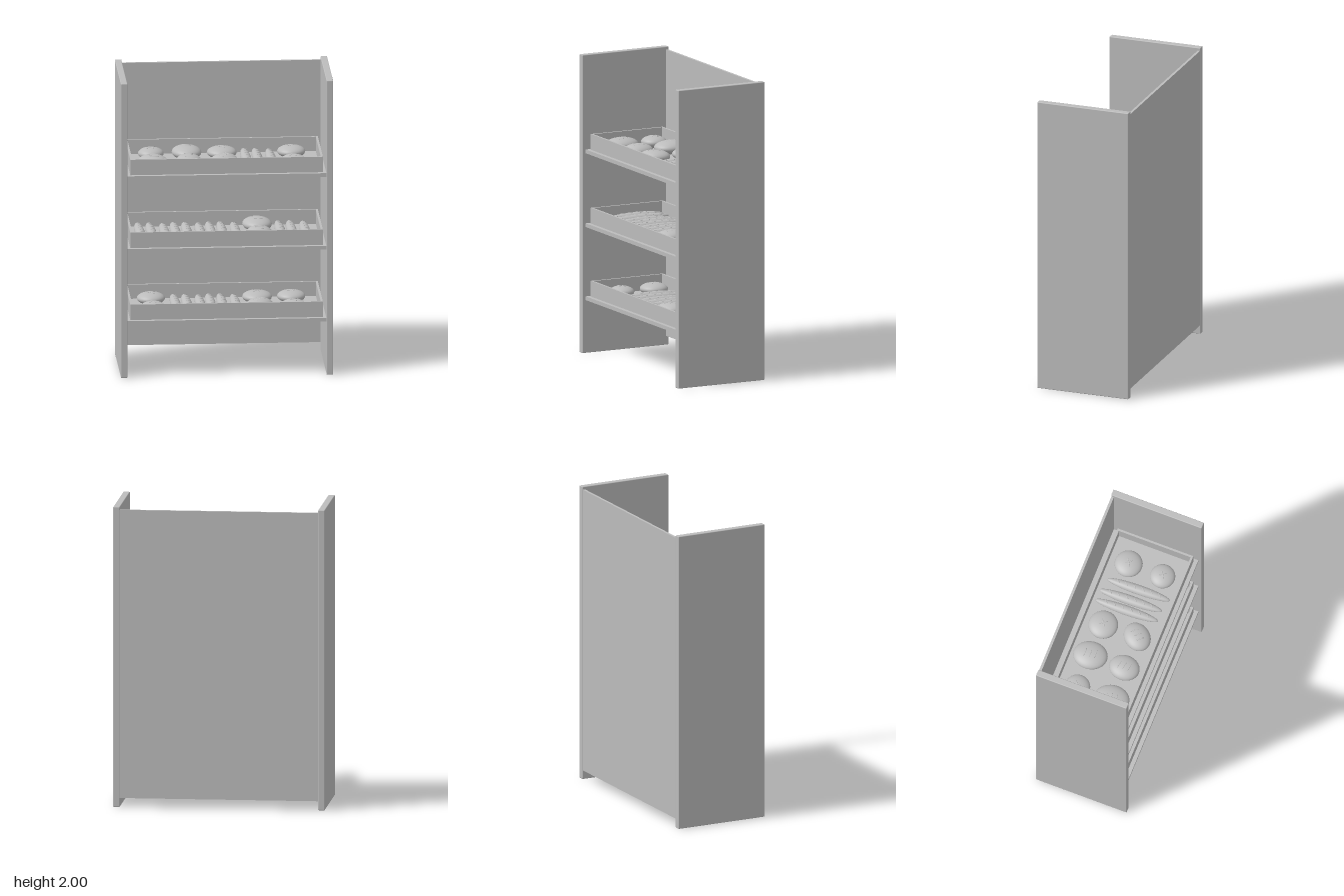
import * as THREE from 'three';
import { RoundedBoxGeometry } from 'three/addons/geometries/RoundedBoxGeometry.js';

const grey = new THREE.MeshStandardMaterial({ color: 0xbcbcbc });
grey.name = 'plain grey';

const ball = new THREE.SphereGeometry(1, 32, 20);
const leaf = new THREE.SphereGeometry(1, 8, 6);

function add(parent, name, geometry, x = 0, y = 0, z = 0) {
  const mesh = new THREE.Mesh(geometry, grey);
  mesh.name = name;
  mesh.position.set(x, y, z);
  parent.add(mesh);
  return mesh;
}

// Box given by its two opposite corners
function box(parent, name, [x0, y0, z0], [x1, y1, z1]) {
  return add(parent, name, new THREE.BoxGeometry(x1 - x0, y1 - y0, z1 - z0),
    (x0 + x1) / 2, (y0 + y1) / 2, (z0 + z1) / 2);
}

// Squashed bread resting on y = 0; each cut is [x, z, angle, half length]
function bread(parent, name, x, z, [rx, ry, rz], turn, cuts) {
  const group = new THREE.Group();
  group.name = name;
  group.position.set(x, 0, z);
  group.rotation.y = turn;
  add(group, 'crust', ball, 0, ry, 0).scale.set(rx, ry, rz);
  for (const [cx, cz, angle, half] of cuts) {
    const h = Math.sqrt(Math.max(0, 1 - (cx / rx) ** 2 - (cz / rz) ** 2));
    const cut = add(group, 'scoreMark', leaf, cx, ry + ry * h - 0.001, cz);
    const normal = new THREE.Vector3(cx / rx ** 2, h / ry, cz / rz ** 2).normalize();
    cut.quaternion.setFromUnitVectors(new THREE.Vector3(0, 1, 0), normal)
      .multiply(new THREE.Quaternion().setFromAxisAngle(new THREE.Vector3(0, 1, 0), angle));
    cut.scale.set(half, 0.003, 0.004);
  }
  parent.add(group);
}

const cross = [[0, 0, 0.6, 0.035], [0, 0, -0.9, 0.035]];
const slashes = [-0.035, 0, 0.035].map((z) => [0, z, -0.15, 0.03]);

const bun = (parent, x, z, r) => bread(parent, 'roundBun', x, z, [r, 0.04, r], 0, cross);
const loaf = (parent, x, z, rx, rz, turn) =>
  bread(parent, 'ovalLoaf', x, z, [rx, 0.045, rz], turn, slashes);

// Three baguettes side by side
function baguettes(parent, x) {
  const cuts = [];
  for (let i = 0; i < 6; i++) cuts.push([0.006, -0.145 + i * 0.058, 0.85, 0.02]);
  [[-0.08, -0.01], [-0.005, -0.01], [0.083, 0.01]].forEach(([dx, z]) =>
    bread(parent, 'baguette', x + dx, z, [0.033, 0.028, 0.22], 0.02, cuts));
}

// Columns of bread, from the model's right to its left
const columnX = [-0.475, -0.24, -0.008, 0.225, 0.45];
const backZ = -0.115, frontZ = 0.125;
const columns = {
  mixed(p, x) { bun(p, x, backZ, 0.085); loaf(p, x, frontZ, 0.098, 0.12, 0.2); },
  ovals(p, x) { loaf(p, x, backZ, 0.097, 0.115, 0.15); loaf(p, x, frontZ, 0.087, 0.103, 0); },
  turned(p, x) { bun(p, x, backZ, 0.098); loaf(p, x, frontZ, 0.085, 0.103, -0.7); },
  buns(p, x) { bun(p, x, backZ, 0.093); bun(p, x, frontZ, 0.084); },
  sticks(p, x) { baguettes(p, x); },
};

const shelves = [
  { y: 1.34, bread: ['mixed', 'ovals', 'turned', 'sticks', 'buns'] },
  { y: 0.845, bread: ['sticks', 'sticks', 'sticks', 'ovals', 'sticks'] },
  { y: 0.355, bread: ['buns', 'sticks', 'sticks', 'turned', 'buns'] },
];

// Open tray with four thin walls and a floor
function tray(parent) {
  const group = new THREE.Group();
  group.name = 'tray';
  const X = 0.635, B = -0.265, F = 0.27, H = 0.105, t = 0.014;
  box(group, 'trayFloor', [-X, 0, B], [X, 0.008, F]);
  box(group, 'trayFront', [-X, 0, F - t], [X, H, F]);
  box(group, 'trayBack', [-X, 0, B], [X, H, B + t]);
  for (const s of [-1, 1]) {
    box(group, 'traySide', [s * (X - t / 2) - t / 2, 0, B + t], [s * (X - t / 2) + t / 2, H, F - t]);
  }
  parent.add(group);
}

export function createModel() {
  const model = new THREE.Group();
  model.name = 'breadRack';

  // Cabinet
  for (const s of [-1, 1]) {
    add(model, 'sidePanel', new RoundedBoxGeometry(0.044, 2, 0.64, 2, 0.005), s * 0.678, 1, 0);
  }
  box(model, 'backPanel', [-0.657, 0.06, -0.317], [0.657, 1.98, -0.3]);

  // Shelves with their filled trays
  for (const { y, bread: kinds } of shelves) {
    const shelf = new THREE.Group();
    shelf.name = 'shelf';
    shelf.position.y = y;
    box(shelf, 'shelfBoard', [-0.657, 0, -0.3], [0.657, 0.025, 0.297]);
    const load = new THREE.Group();
    load.name = 'filledTray';
    load.position.y = 0.025;
    tray(load);
    const goods = new THREE.Group();
    goods.name = 'bread';
    goods.position.y = 0.007;
    kinds.forEach((kind, i) => columns[kind](goods, columnX[i]));
    load.add(goods);
    shelf.add(load);
    model.add(shelf);
  }
  return model;
}
